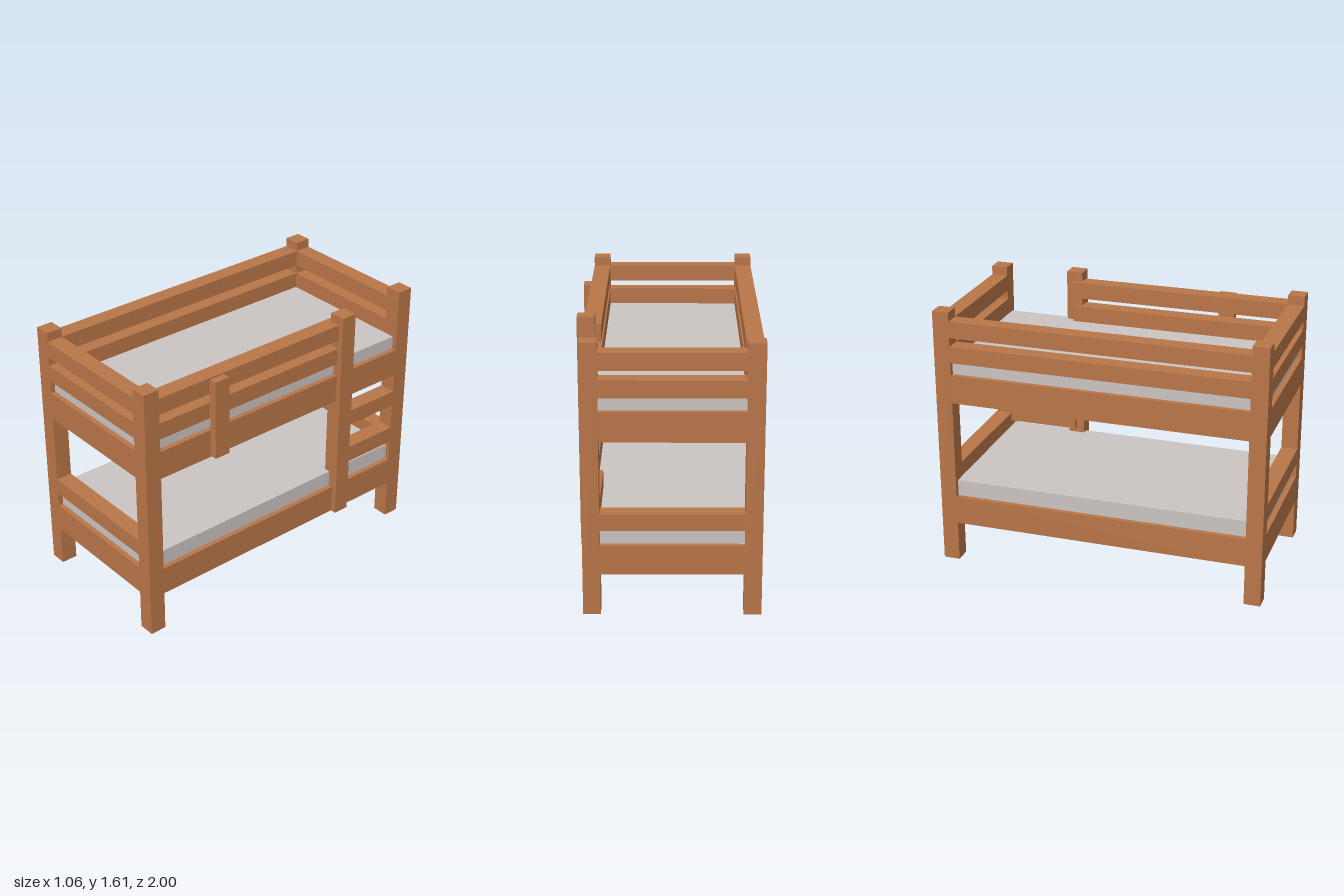
import * as THREE from 'three';

export function createModel() {
  const wood = new THREE.MeshStandardMaterial({ color: 0xb87548 });
  wood.name = 'wood';
  const fabric = new THREE.MeshStandardMaterial({ color: 0xcac4c1 });
  fabric.name = 'mattressGrey';

  const model = new THREE.Group();
  model.name = 'bunkBed';

  // Box given by its limits on each axis
  function block(name, [x0, x1], [y0, y1], [z0, z1], material = wood) {
    const mesh = new THREE.Mesh(new THREE.BoxGeometry(x1 - x0, y1 - y0, z1 - z0), material);
    mesh.position.set((x0 + x1) / 2, (y0 + y1) / 2, (z0 + z1) / 2);
    mesh.name = name;
    model.add(mesh);
  }

  const rightX = [-0.53, -0.43], leftX = [0.38, 0.48], innerX = [-0.43, 0.38];
  const frontZ = [0.9, 1], backZ = [-1, -0.9], innerZ = [-0.9, 0.9];

  // Corner posts
  for (const x of [rightX, leftX])
    for (const z of [frontZ, backZ]) block('cornerPost', x, [0, 1.605], z);

  // Solid bed base, notched at the corners to fit the posts
  function bedBase(name, y0, y1) {
    const outline = [
      [-0.43, -1], [0.38, -1], [0.38, -0.9], [0.48, -0.9], [0.48, 0.9], [0.38, 0.9],
      [0.38, 1], [-0.43, 1], [-0.43, 0.9], [-0.53, 0.9], [-0.53, -0.9], [-0.43, -0.9],
    ].map(([x, z]) => new THREE.Vector2(x, z));
    const geometry = new THREE.ExtrudeGeometry(new THREE.Shape(outline), { depth: y1 - y0, bevelEnabled: false });
    geometry.rotateX(-Math.PI / 2);
    const mesh = new THREE.Mesh(geometry, wood);
    mesh.position.y = y0;
    mesh.name = name;
    model.add(mesh);
  }
  bedBase('lowerBase', 0.25, 0.425);
  bedBase('upperBase', 1.04, 1.215);

  // Mattresses, set in slightly from the base
  block('lowerMattress', [-0.5, 0.45], [0.425, 0.525], [-0.97, 0.97], fabric);
  block('upperMattress', [-0.5, 0.45], [1.215, 1.297], [-0.97, 0.97], fabric);

  // Head and foot rails
  const upperRails = [[1.295, 1.395], [1.45, 1.55]];
  for (const y of [[0.515, 0.615], ...upperRails])
    for (const z of [frontZ, backZ]) block('endRail', innerX, y, z);

  // Side guard rails, the left ones stopping at the ladder
  for (const y of upperRails) {
    block('rightGuardRail', rightX, y, innerZ);
    block('leftGuardRail', leftX, y, [-0.46, 0.9]);
  }

  // Ladder post and rungs
  block('ladderPost', [0.413, 0.515], [0.25, 1.605], [-0.51, -0.41]);
  for (const y of [[0.56, 0.663], [0.825, 0.925]]) block('ladderRung', leftX, y, [-0.9, -0.46]);

  // Upright brace outside the left guard rails
  block('guardBrace', [0.48, 0.527], [1.05, 1.54], [0.45, 0.55]);

  return model;
}
